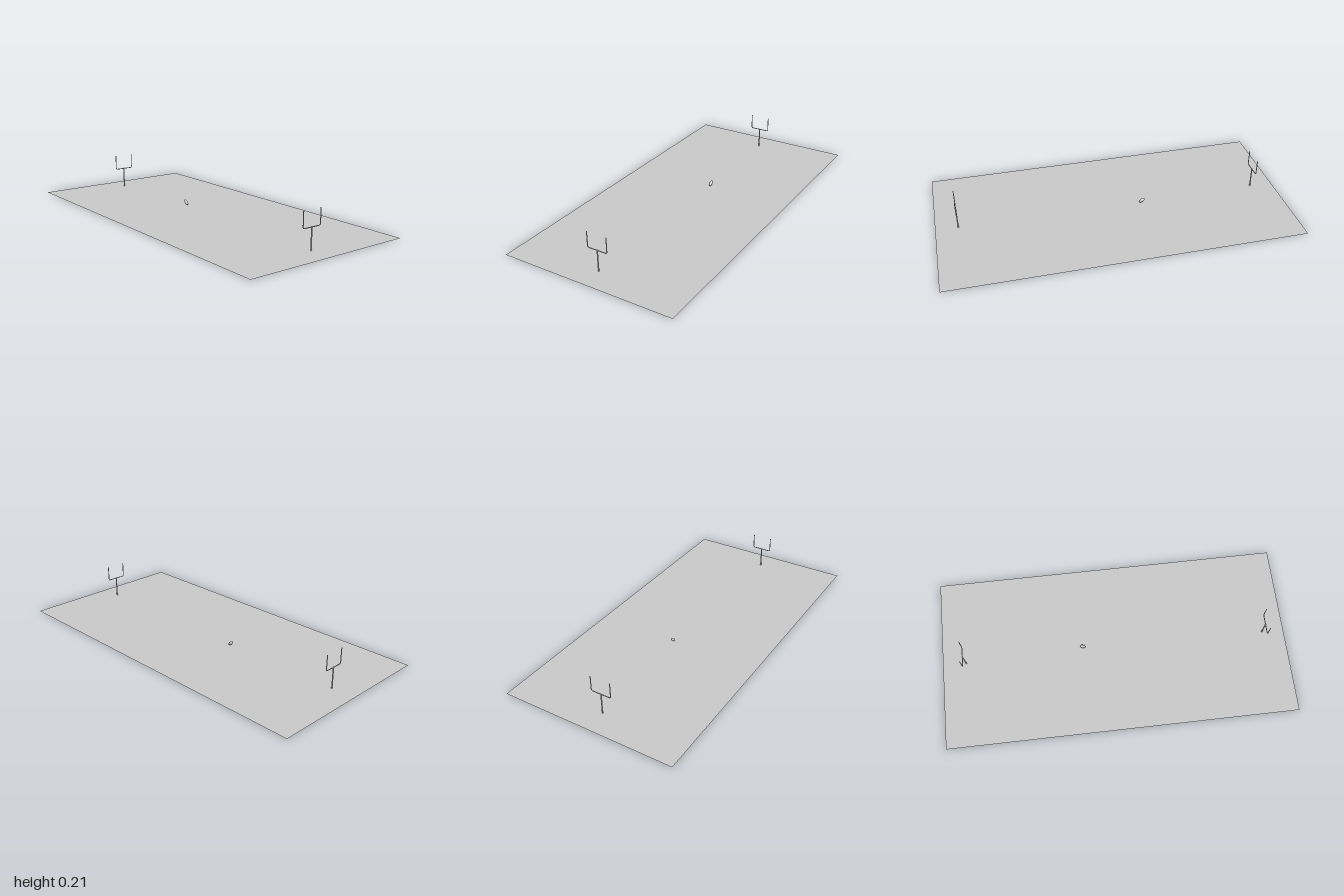
import * as THREE from 'three';

const material = new THREE.MeshStandardMaterial({ color: 0xcccccc });
const openMaterial = new THREE.MeshStandardMaterial({ color: 0xcccccc, side: THREE.DoubleSide });

function part(name, geometry, mat = material) {
  const mesh = new THREE.Mesh(geometry, mat);
  mesh.name = name;
  return mesh;
}

// U-shaped tube with rounded lower corners, spanning z
function forkPath(half, low, high, bend) {
  const v = (z, y) => new THREE.Vector3(0, y, z);
  const path = new THREE.CurvePath();
  path.add(new THREE.LineCurve3(v(half, high), v(half, low + bend)));
  path.add(new THREE.QuadraticBezierCurve3(v(half, low + bend), v(half, low), v(half - bend, low)));
  path.add(new THREE.LineCurve3(v(half - bend, low), v(bend - half, low)));
  path.add(new THREE.QuadraticBezierCurve3(v(bend - half, low), v(-half, low), v(-half, low + bend)));
  path.add(new THREE.LineCurve3(v(-half, low + bend), v(-half, high)));
  return path;
}

function createGoal(name, x) {
  const goal = new THREE.Group();
  goal.name = name;
  const post = part('post', new THREE.CylinderGeometry(0.0035, 0.0035, 0.12, 16));
  post.position.y = 0.06;
  const joint = part('postJoint', new THREE.SphereGeometry(0.0045, 16, 12));
  joint.position.y = 0.12;
  const fork = part('crossbarAndUprights',
    new THREE.TubeGeometry(forkPath(0.058, 0.12, 0.208, 0.01), 160, 0.0025, 10), openMaterial);
  goal.add(post, joint, fork);
  // Closed tops of the uprights
  for (const side of [-1, 1]) {
    const cap = part('uprightCap', new THREE.CircleGeometry(0.0025, 10));
    cap.rotation.x = -Math.PI / 2;
    cap.position.set(0, 0.208, side * 0.058);
    goal.add(cap);
  }
  goal.position.set(x, 0, 0.009);
  return goal;
}

// Pointed oval ball, long axis along y before tilting
function createBall() {
  const profile = [];
  for (let i = 0; i <= 20; i++) {
    const t = i / 10 - 1;
    const r = 0.0092 * Math.pow(Math.max(0, 1 - t * t), 0.65);
    profile.push(new THREE.Vector2(r, 0.0205 * t));
  }
  const ball = part('ball', new THREE.LatheGeometry(profile, 24));
  ball.rotation.z = THREE.MathUtils.degToRad(53);
  ball.position.set(-0.184, 0.023, -0.012);
  return ball;
}

export function createModel() {
  const model = new THREE.Group();
  model.name = 'playingField';

  // Flat ground sheet
  const field = part('field', new THREE.PlaneGeometry(2, 1), openMaterial);
  field.rotation.x = -Math.PI / 2;
  field.position.y = 0.001;
  model.add(field);

  model.add(createGoal('rightGoal', -0.866), createGoal('leftGoal', 0.873), createBall());
  return model;
}
